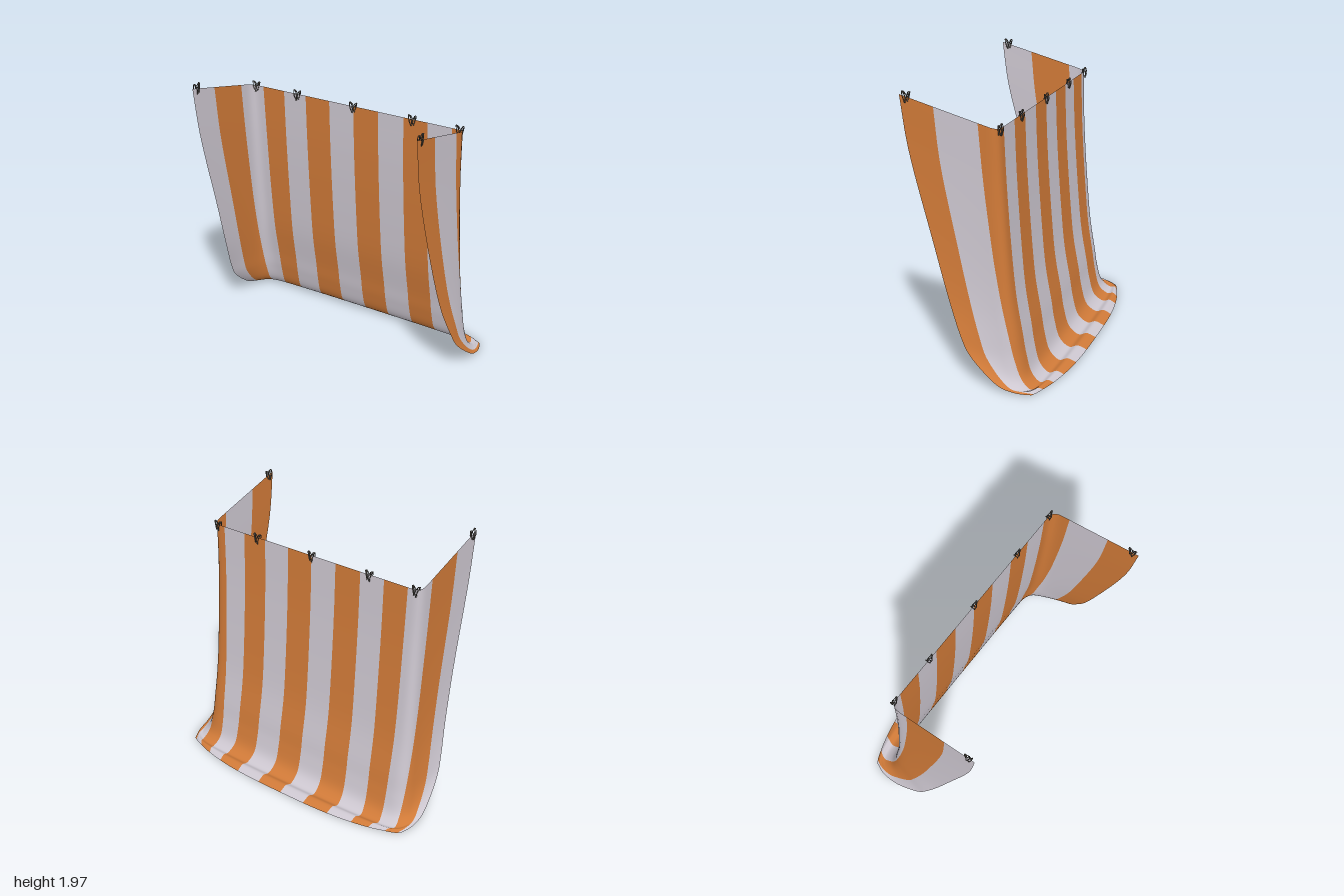
import * as THREE from 'three';

const V = (x, y, z) => new THREE.Vector3(x, y, z);
const lerp = THREE.MathUtils.lerp;
const spline = (pts) => new THREE.CatmullRomCurve3(pts.map((p) => V(...p)));

// Top-to-bottom guide lines: middle of the back, rear corner, free front edge
const middle = spline([
  [0, 1.78, -0.14], [0, 1.4, -0.155], [0, 0.9, -0.19], [0, 0.6, -0.22], [0, 0.35, -0.265],
  [0, 0.2, -0.29], [0, 0.06, -0.335], [0, 0.008, -0.41], [0, 0.03, -0.47], [0, 0.008, -0.54],
]);
const corner = spline([
  [0.87, 1.78, -0.14], [0.87, 1.4, -0.155], [0.875, 0.9, -0.19], [0.88, 0.6, -0.22], [0.885, 0.35, -0.26],
  [0.89, 0.2, -0.285], [0.9, 0.06, -0.325], [0.92, 0.01, -0.385], [0.91, 0.025, -0.42], [0.9, 0.008, -0.43],
]);
const edge = spline([
  [0.87, 1.95, 0.54], [0.87, 1.6, 0.49], [0.89, 0.97, 0.32], [0.92, 0.58, 0.2], [0.955, 0.36, 0.11],
  [0.972, 0.25, 0.05], [0.995, 0.11, -0.1], [1.0, 0.045, -0.2], [0.99, 0.02, -0.31], [0.955, 0.008, -0.4],
]);

// Half sheet: s = 0 middle of the back, 1 rear corner, 2 front edge
function sheetPoint(s, t) {
  const m = middle.getPoint(t), c = corner.getPoint(t), e = edge.getPoint(t);
  const raw = (k) => {
    if (k > 1) return c.clone().lerp(e, k - 1);
    const w = k ** 3;
    return V(c.x * k, lerp(m.y, c.y, w), lerp(m.z, c.z, w));
  };
  // Round off the rear corner
  const a = lerp(0.07, 0.15, t), b = lerp(0.1, 0.4, t);
  if (s <= 1 - a || s >= 1 + b) return raw(s);
  const u = (s - 1 + a) / (a + b);
  const p = raw(1 - a), q = raw(1), r = raw(1 + b);
  return p.multiplyScalar((1 - u) ** 2).addScaledVector(q, 2 * u * (1 - u)).addScaledVector(r, u * u);
}

// Stripe borders on one half, drifting slightly towards the hem
const borders = (t) => [0, 0.23, 0.46, 0.675, lerp(0.885, 0.82, t), 1 + lerp(0.2, 0.06, t), 1.65, 2];

function stripedSheet(materials) {
  const rows = 54, sub = 8, stripes = 7, half = stripes * sub, cols = 2 * half;
  const pos = [], index = [];
  for (let i = 0; i <= cols; i++) {
    const k = Math.abs(i - half), side = Math.sign(i - half);
    const n = Math.min(Math.floor(k / sub), stripes - 1);
    for (let j = 0; j <= rows; j++) {
      const t = j / rows, b = borders(t);
      const p = sheetPoint(lerp(b[n], b[n + 1], k / sub - n), t);
      pos.push(side * p.x, p.y, p.z);
    }
  }
  for (let i = 0; i < cols; i++) {
    for (let j = 0; j < rows; j++) {
      const a = i * (rows + 1) + j, b = a + rows + 1;
      index.push(a, a + 1, b, b, a + 1, b + 1);
    }
  }
  const geo = new THREE.BufferGeometry();
  geo.setAttribute('position', new THREE.Float32BufferAttribute(pos, 3));
  geo.setIndex(index);
  const count = sub * rows * 6;
  for (let n = 0; n < 2 * stripes; n++) geo.addGroup(n * count, count, n % 2);
  geo.computeVertexNormals();
  return new THREE.Mesh(geo, materials);
}

// Bent wire clip that grips the top edge from both faces
function wireClip(material) {
  const clip = new THREE.Group();
  for (const f of [1, -1]) {
    const path = new THREE.CatmullRomCurve3([
      V(-0.03, 0.036, 0.003 * f), V(-0.018, 0.0, 0.016 * f), V(-0.006, -0.042, 0.006 * f),
      V(0.002, 0.0, 0.016 * f), V(0.012, -0.03, 0.006 * f), V(0.028, 0.036, 0.003 * f),
      V(0.014, 0.03, 0.003 * f), V(0.004, -0.01, 0.016 * f), V(-0.014, 0.03, 0.003 * f),
    ], true, 'catmullrom', 0.2);
    const wire = new THREE.Mesh(new THREE.TubeGeometry(path, 48, 0.003, 5, true), material);
    wire.name = 'clipWire';
    clip.add(wire);
  }
  return clip;
}

export function createModel() {
  const orange = new THREE.MeshStandardMaterial({ color: 0xd07a38, side: THREE.DoubleSide });
  orange.name = 'orange cloth';
  const pale = new THREE.MeshStandardMaterial({ color: 0xcdc7d0, side: THREE.DoubleSide });
  pale.name = 'pale cloth';
  const metal = new THREE.MeshStandardMaterial({ color: 0x5f5b54 });
  metal.name = 'clip metal';

  const model = new THREE.Group();
  model.name = 'stripedCurtain';
  const sheet = stripedSheet([pale, orange]);
  sheet.name = 'stripedSheet';
  model.add(sheet);

  // Clips along the back, then one near each front corner
  const places = [-0.83, -0.47, 0, 0.47, 0.83].map((x) => [x, 1.772, -0.14, 0]);
  for (const s of [1, -1]) places.push([s * 0.87, 1.938, 0.49, Math.PI / 2]);
  for (const [x, y, z, turn] of places) {
    const clip = wireClip(metal);
    clip.name = 'clip';
    clip.position.set(x, y, z);
    clip.rotation.y = turn;
    model.add(clip);
  }
  return model;
}
